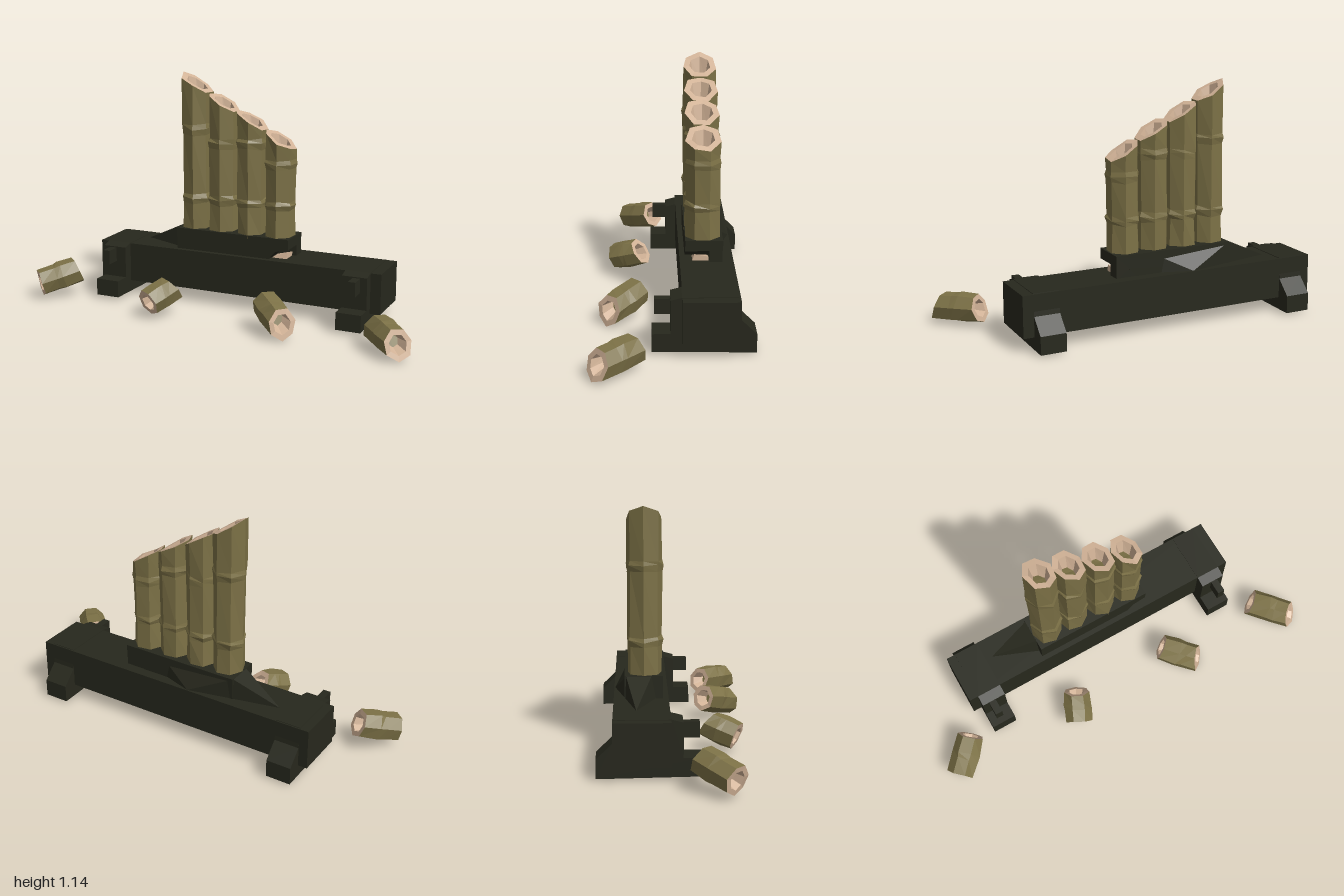
import * as THREE from 'three';
import { ConvexGeometry } from 'three/addons/geometries/ConvexGeometry.js';

const mat = (name, color) => Object.assign(new THREE.MeshStandardMaterial({ color }), { name });

// Repeatable small irregularity for the hand-cut look
function seeded(seed) {
  let s = seed;
  return () => ((s = (s * 16807) % 2147483647) / 2147483647) - 0.5;
}

// Skin between successive loops of points, with flat facets
function loft(loops, closeEnd = false) {
  const out = [];
  const n = loops[0].length;
  const tri = (...ps) => ps.forEach((p) => out.push(p.x, p.y, p.z));
  for (let k = 0; k < loops.length - 1; k++) {
    const a = loops[k], b = loops[k + 1];
    for (let i = 0; i < n; i++) {
      const j = (i + 1) % n;
      tri(a[i], b[i], b[j]);
      tri(a[i], b[j], a[j]);
    }
  }
  if (closeEnd) {
    const e = loops[loops.length - 1];
    for (let i = 1; i < n - 1; i++) tri(e[0], e[i + 1], e[i]);
  }
  const g = new THREE.BufferGeometry();
  g.setAttribute('position', new THREE.Float32BufferAttribute(out, 3));
  g.computeVertexNormals();
  return g;
}

export function createModel() {
  const model = new THREE.Group();
  model.name = 'bambooStand';
  const darkWood = mat('darkWood', 0x27281d);
  const bark = mat('bambooBark', 0x7c7146);
  const pith = mat('bambooCut', 0xd2b397);

  const add = (parent, name, geometry, material) => {
    const m = new THREE.Mesh(geometry, material);
    m.name = name;
    parent.add(m);
    return m;
  };
  const box = (name, w, h, d, x, y, z, material = darkWood) =>
    add(model, name, new THREE.BoxGeometry(w, h, d), material).position.set(x, y, z);

  // Extrude a side profile of [z, y] points along x
  const sideExtrude = (points, width) => {
    const shape = new THREE.Shape(points.map(([z, y]) => new THREE.Vector2(-z, y)));
    return new THREE.ExtrudeGeometry(shape, { depth: width, bevelEnabled: false })
      .translate(0, 0, -width / 2).rotateY(Math.PI / 2);
  };

  // Hollow cane along y: rings are [y, radius]; the ends are cut on a slant
  function cane(name, rings, { seed, topSlope, bottomSlope = 0, depthScale = 1, openBottom = false, depth = 0.09 }) {
    const group = new THREE.Group();
    group.name = name;
    const rnd = seeded(seed);
    const sides = 7;
    const turn = rnd() * 0.8;
    const loop = (y, r, slope) => Array.from({ length: sides }, (_, i) => {
      const a = turn + (i / sides) * Math.PI * 2;
      const q = r * (1 + rnd() * 0.1);
      const x = Math.cos(a) * q;
      return new THREE.Vector3(x, y + slope * x + rnd() * 0.012, Math.sin(a) * q * depthScale);
    });
    const last = rings.length - 1;
    const loops = rings.map(([y, r], k) =>
      loop(y, r, k === last ? topSlope : k === 0 ? bottomSlope : 0));
    add(group, 'bark', loft(loops), bark);

    // Cut rim, tapering hollow and the node wall at its bottom
    const hollow = (rim, dir, label) => {
      const c = new THREE.Vector3();
      rim.forEach((p) => c.addScaledVector(p, 1 / sides));
      const inner = rim.map((p) => p.clone().sub(c).multiplyScalar(0.64).add(c));
      const floor = inner.map((p) => new THREE.Vector3(p.x * 0.65, p.y - dir * depth, p.z * 0.65));
      const set = [rim, inner, floor];
      if (dir < 0) set.forEach((l) => l.reverse());
      add(group, label + 'Cut', loft(set), pith);
      add(group, label + 'NodeWall', loft([floor], true), bark);
    };
    hollow([...loops[last]], 1, 'top');
    if (openBottom) hollow([...loops[0]], -1, 'bottom');
    model.add(group);
    return group;
  }

  // Beam
  box('beam', 1.49, 0.195, 0.25, 0.003, 0.168, -0.167);

  // Feet with front uprights, rear braces and pegs
  const footProfile = [[0.092, 0.017], [0.09, 0.1], [0.01, 0.1], [0.01, 0.255], [-0.04, 0.268],
    [-0.285, 0.268], [-0.294, 0.165], [-0.365, 0.095], [-0.365, 0.01]];
  for (const s of [-1, 1]) {
    add(model, 'foot', sideExtrude(footProfile, 0.122), darkWood).position.x = s * 0.636;
    box('peg', 0.036, 0.07, 0.08, s * 0.645, 0.215, 0.04);
  }

  // Plinth, undercut at one end
  const plinth = new THREE.Shape([[-0.32, 0.26], [0.17, 0.26], [0.21, 0.305], [0.275, 0.32], [0.275, 0.37], [-0.32, 0.37]]
    .map((p) => new THREE.Vector2(...p)));
  add(model, 'plinth', new THREE.ExtrudeGeometry(plinth, { depth: 0.175, bevelEnabled: false }), darkWood).position.z = -0.242;
  box('plinthEnd', 0.1, 0.07, 0.06, 0.225, 0.295, -0.21);

  // Offcut lying under the plinth end
  add(model, 'offcut', new ConvexGeometry([
    [0.18, 0.266, -0.1], [0.255, 0.266, -0.1], [0.255, 0.298, -0.11],
    [0.18, 0.266, -0.175], [0.255, 0.266, -0.175], [0.255, 0.286, -0.175],
  ].map((p) => new THREE.Vector3(...p))), pith);

  // Sloping wedge beside and behind the plinth
  add(model, 'wedge', new ConvexGeometry([
    [-0.54, 0.266, -0.19], [-0.32, 0.368, -0.235], [-0.32, 0.368, -0.12], [-0.32, 0.266, -0.1],
    [-0.1, 0.266, -0.288], [0.05, 0.266, -0.24], [0.05, 0.34, -0.235],
  ].map((p) => new THREE.Vector3(...p))), darkWood);

  // Standing canes, stepping down towards +x: [x, top height, upper node height]
  [[-0.245, 1.09, 0.88], [-0.1, 1.0, 0.82], [0.05, 0.925, 0.83], [0.198, 0.84, 0.74]].forEach(([x, top, node], i) => {
    const rings = [[0.35, 0.075], [0.5, 0.074], [0.525, 0.08], [0.545, 0.075],
      [node - 0.04, 0.075], [node - 0.01, 0.08], [node + 0.01, 0.075], [top, 0.077]];
    cane('standingCane', rings, { seed: 101 + i * 977, topSlope: -0.57, depthScale: 1.08 })
      .position.set(x, 0, -0.15);
  });

  // Cut pieces on the ground: upper end, lower end, slant of each end
  [
    [[-0.815, 0.13, 0.08], [-0.95, 0.082, 0.215], 0.1, 0],
    [[-0.245, 0.125, 0.14], [-0.305, 0.08, 0.27], 0.4, 0],
    [[0.25, 0.12, 0.15], [0.39, 0.077, 0.285], 0.1, -0.45],
    [[0.795, 0.087, 0.16], [0.938, 0.076, 0.318], 0.2, -0.4],
  ].forEach(([from, to, bottomSlope, topSlope], i) => {
    const a = new THREE.Vector3(...from), b = new THREE.Vector3(...to);
    const half = a.distanceTo(b) / 2;
    const y = b.clone().sub(a).normalize();
    const x = new THREE.Vector3(0, 1, 0).addScaledVector(y, -y.y).normalize();
    const z = x.clone().cross(y);
    const piece = cane('cutCane', [[-half, 0.067], [-half * 0.1, 0.072], [half * 0.2, 0.07], [half, 0.068]],
      { seed: 311 + i * 531, topSlope, bottomSlope, openBottom: true, depth: 0.06 });
    piece.quaternion.setFromRotationMatrix(new THREE.Matrix4().makeBasis(x, y, z));
    piece.position.copy(a).add(b).multiplyScalar(0.5);
  });

  return model;
}
